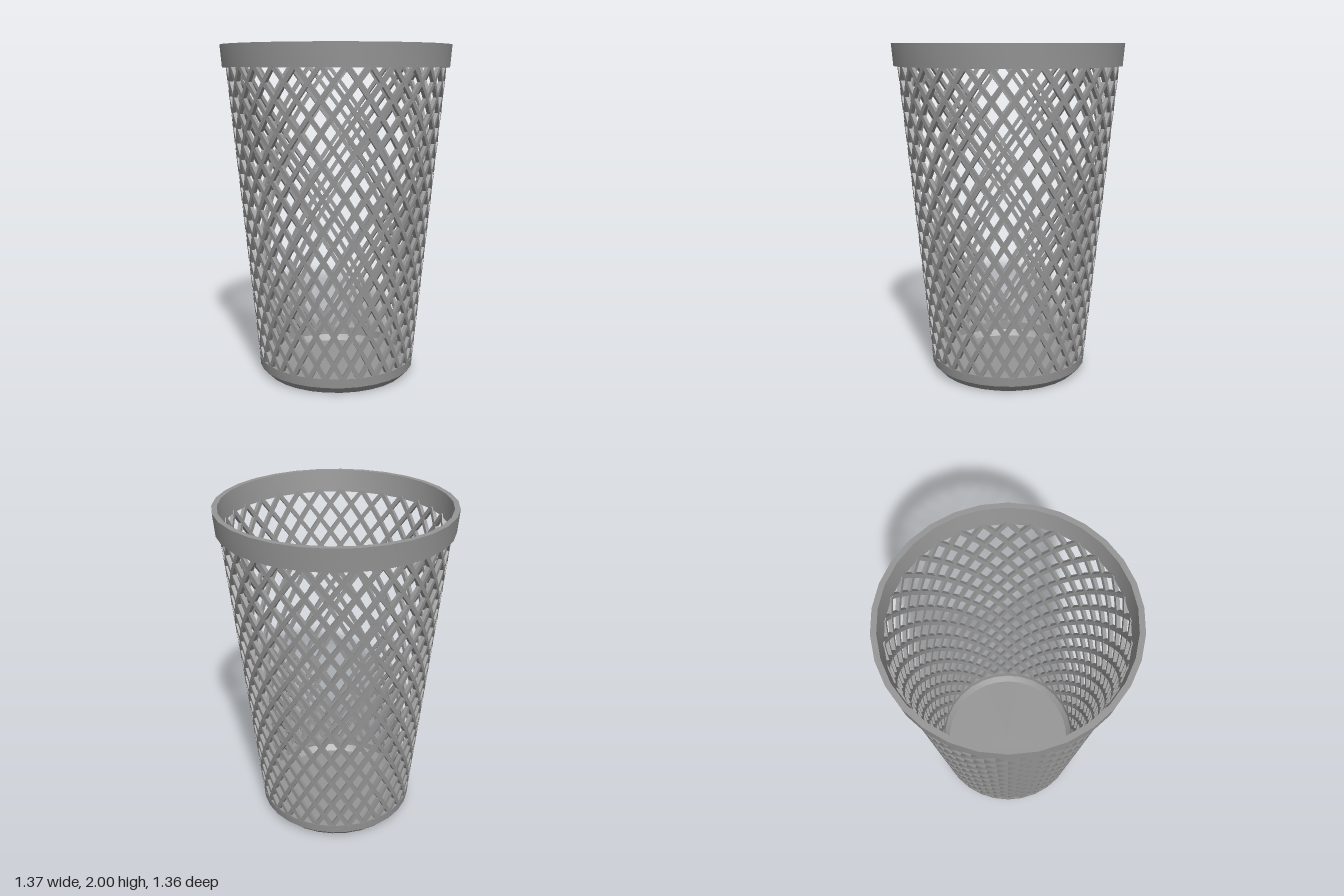
import * as THREE from 'three';
import { mergeGeometries, toCreasedNormals } from 'three/addons/utils/BufferGeometryUtils.js';

const SIDES = 30;          // sides of the basket, and strands in each direction
const ROWS = 20;           // lattice half-rows between the base and the rim
const Y0 = 0.09, Y1 = 1.88;
const HALF_WIDTH = 0.0125, HALF_DEPTH = 0.011;

const wallRadius = (y) => 0.468 + 0.174 * (y - Y0) / (Y1 - Y0);

// Ring turned from a closed outline, listed counter-clockwise
function turned(outline, name, material) {
  const points = outline.map(([r, y]) => new THREE.Vector2(r, y));
  const geometry = new THREE.LatheGeometry(points, SIDES).rotateY(Math.PI / 2);
  const mesh = new THREE.Mesh(toCreasedNormals(geometry, 0.55), material);
  mesh.name = name;
  return mesh;
}

// Flat bar winding up the tapered wall; direction is +1 or -1
function strand(start, direction) {
  const step = Math.PI / SIDES;
  const at = (i) => {
    const y = Y0 + (Y1 - Y0) * i / ROWS;
    const a = start + direction * step * i;
    const r = wallRadius(y);
    return new THREE.Vector3(Math.cos(a) * r, y, Math.sin(a) * r);
  };
  const positions = [], index = [];
  for (let i = 0; i <= ROWS; i++) {
    const p = at(i);
    const tangent = at(i + 0.5).sub(at(i - 0.5)).normalize();
    const out = new THREE.Vector3(p.x, 0, p.z).normalize();
    const side = new THREE.Vector3().crossVectors(tangent, out).normalize();
    out.crossVectors(side, tangent);
    for (const [u, v] of [[-1, -1], [1, -1], [1, 1], [-1, 1]]) {
      const c = p.clone().addScaledVector(side, u * HALF_WIDTH).addScaledVector(out, v * HALF_DEPTH);
      positions.push(c.x, c.y, c.z);
    }
    if (i === ROWS) break;
    // side x out points down the strand, so the section runs clockwise seen from its top
    for (let k = 0; k < 4; k++) {
      const a = i * 4 + k, b = i * 4 + (k + 1) % 4;
      index.push(a, b + 4, b, a, a + 4, b + 4);
    }
  }
  const geometry = new THREE.BufferGeometry();
  geometry.setAttribute('position', new THREE.Float32BufferAttribute(positions, 3));
  geometry.setIndex(index);
  return toCreasedNormals(geometry, 0.55);
}

export function createModel() {
  const grey = new THREE.MeshStandardMaterial({ color: 0x959595 });
  grey.name = 'grey';
  const basket = new THREE.Group();
  basket.name = 'wasteBasket';

  // Solid base with a chamfered foot and a shallow floor
  basket.add(turned([
    [0, 0], [0.435, 0], [0.477, 0.045], [0.482, 0.1],
    [0.461, 0.1], [0.457, 0.055], [0.425, 0.02], [0, 0.02],
  ], 'base', grey));

  // Diamond lattice wall
  const bars = [];
  for (let i = 0; i < SIDES; i++) {
    const start = i * 2 * Math.PI / SIDES;
    bars.push(strand(start, 1), strand(start, -1));
  }
  const lattice = new THREE.Mesh(mergeGeometries(bars), grey);
  lattice.name = 'latticeWall';
  basket.add(lattice);

  // Thick flared rim
  basket.add(turned([
    [0.637, 1.87], [0.675, 1.87], [0.686, 2], [0.655, 2], [0.637, 1.87],
  ], 'rim', grey));

  return basket;
}
